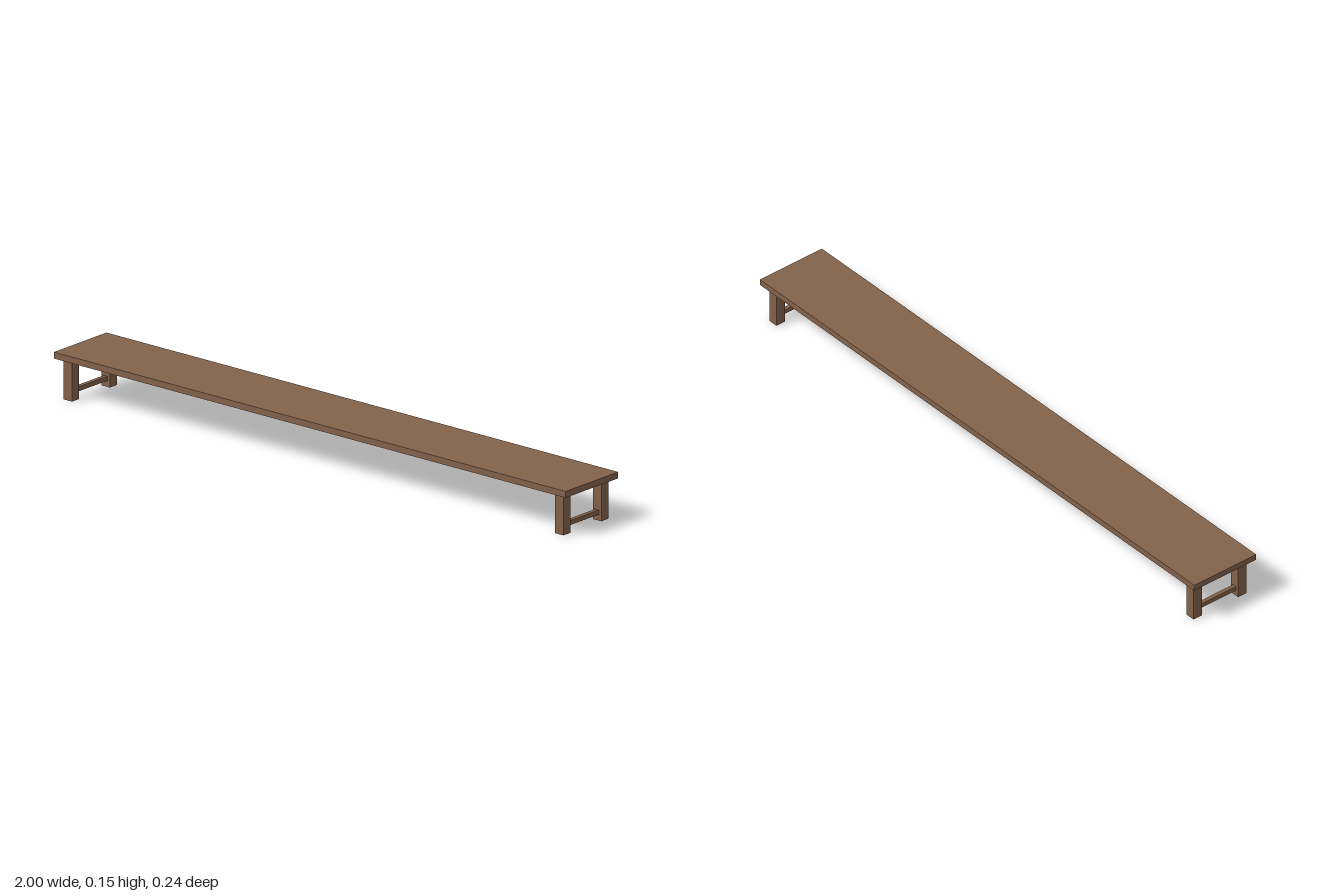
import * as THREE from 'three';

export function createModel() {
  const model = new THREE.Group();
  model.name = 'bench';
  const wood = new THREE.MeshStandardMaterial({ color: 0x83624a });
  wood.name = 'brown wood';

  // Box given by its size, centre and underside height
  const addBox = (name, parent, [w, h, d], [x, y, z]) => {
    const mesh = new THREE.Mesh(new THREE.BoxGeometry(w, h, d), wood);
    mesh.name = name;
    mesh.position.set(x, y + h / 2, z);
    parent.add(mesh);
  };

  // Long seat plank
  addBox('seat', model, [2, 0.02, 0.24], [0, 0.127, 0]);

  // A leg frame at each end: two square posts joined by a low stretcher
  for (const side of [1, -1]) {
    const frame = new THREE.Group();
    frame.name = side > 0 ? 'leftLegFrame' : 'rightLegFrame';
    frame.position.x = side * 0.96;
    for (const end of [1, -1]) {
      addBox(end > 0 ? 'frontLeg' : 'backLeg', frame, [0.033, 0.127, 0.033], [0, 0, end * 0.0865]);
    }
    addBox('stretcher', frame, [0.014, 0.014, 0.14], [0, 0.0195, 0]);
    model.add(frame);
  }
  return model;
}
